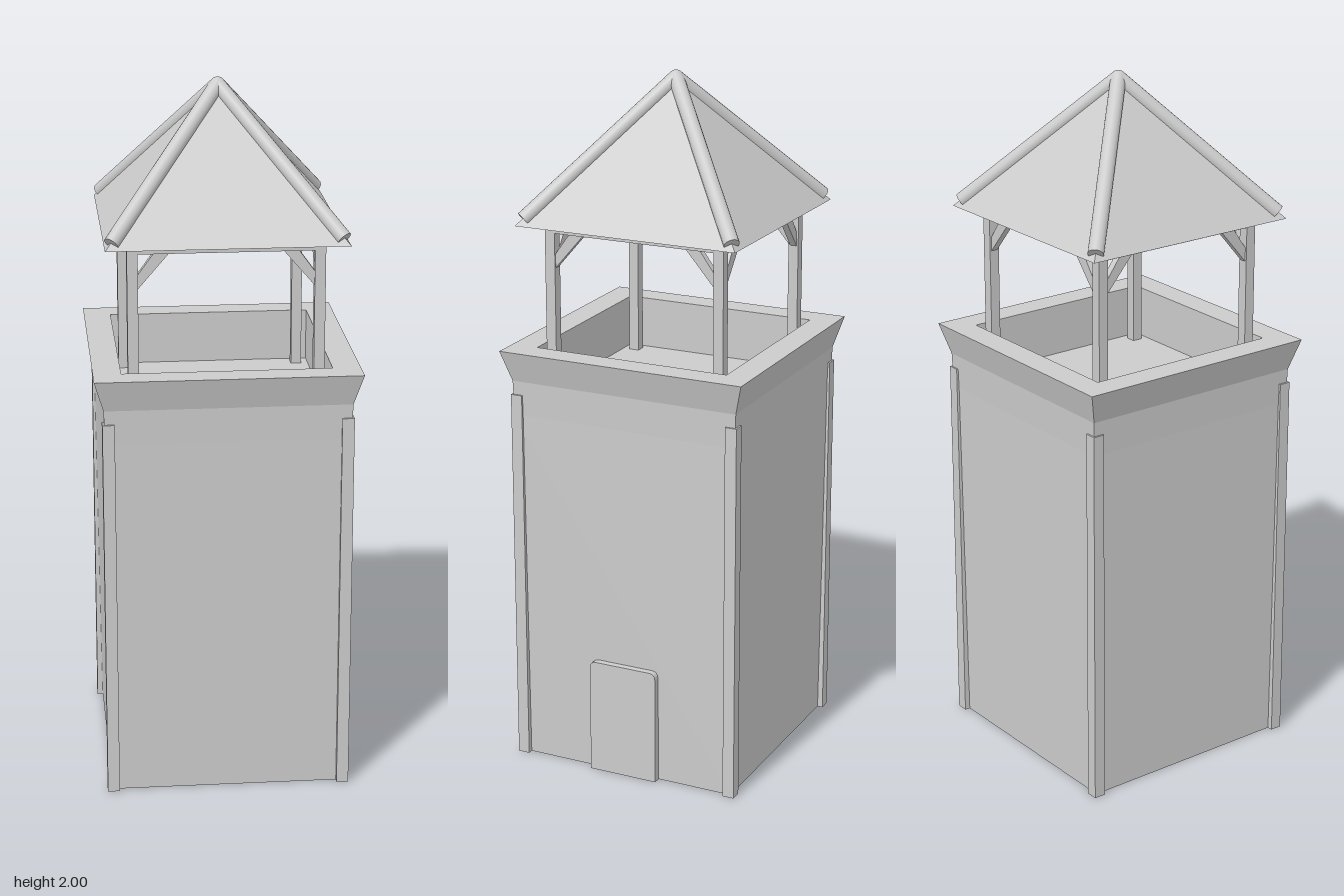
import * as THREE from 'three';

const grey = new THREE.MeshStandardMaterial({ color: 0xcccccc, flatShading: true, side: THREE.DoubleSide });
const smoothGrey = new THREE.MeshStandardMaterial({ color: 0xcccccc });

function add(parent, name, geometry, material = grey) {
  const mesh = new THREE.Mesh(geometry, material);
  mesh.name = name;
  parent.add(mesh);
  return mesh;
}

function box(parent, name, w, h, d, x, y, z) {
  add(parent, name, new THREE.BoxGeometry(w, h, d)).position.set(x, y, z);
}

// Square-plan shell from half-widths and heights
function squareLathe(profile) {
  const points = profile.map(([half, y]) => new THREE.Vector2(half * Math.SQRT2, y));
  return new THREE.LatheGeometry(points, 4, Math.PI / 4);
}

export function createModel() {
  const model = new THREE.Group();
  model.name = 'watchTower';

  // Hollow tower walls, flared parapet and sunken platform, open underneath
  add(model, 'towerWalls', squareLathe([
    [0.332, 0], [0.341, 1.05], [0.344, 1.15], [0.37, 1.24],
    [0.292, 1.24], [0.292, 1.09], [0, 1.09],
  ]));

  // Door block with rounded top corners, set through the left wall
  const w = 0.104, h = 0.34, r = 0.02;
  const doorShape = new THREE.Shape();
  doorShape.moveTo(-w, 0);
  doorShape.lineTo(w, 0);
  doorShape.lineTo(w, h - r);
  doorShape.quadraticCurveTo(w, h, w - r, h);
  doorShape.lineTo(-w + r, h);
  doorShape.quadraticCurveTo(-w, h, -w, h - r);
  const door = add(model, 'door', new THREE.ExtrudeGeometry(doorShape,
    { depth: 0.165, bevelEnabled: false, curveSegments: 4 }));
  door.rotation.y = Math.PI / 2;
  door.position.x = 0.19;

  // Corner trims on the tower and posts carrying the roof
  for (const sx of [-1, 1]) {
    for (const sz of [-1, 1]) {
      box(model, 'cornerTrim', 0.034, 1.11, 0.034, sx * 0.331, 0.555, sz * 0.331);
      box(model, 'roofPost', 0.03, 0.5, 0.03, sx * 0.257, 1.34, sz * 0.257);
    }
  }

  // Diagonal brace outline between post and beam
  const braceShape = new THREE.Shape([[0.243, 1.47], [0.243, 1.51], [0.198, 1.572], [0.155, 1.572]]
    .map(([x, y]) => new THREE.Vector2(x, y)));
  const braceGeometry = new THREE.ExtrudeGeometry(braceShape, { depth: 0.02, bevelEnabled: false });
  braceGeometry.translate(0, 0, -0.01);

  // Each side of the frame: one beam with a brace at both ends
  for (let i = 0; i < 4; i++) {
    const side = new THREE.Group();
    side.name = 'roofFrameSide';
    side.rotation.y = i * Math.PI / 2;
    box(side, 'beam', 0.544, 0.026, 0.03, 0, 1.583, 0.257);
    for (const turn of [0, Math.PI]) {
      const brace = add(side, 'brace', braceGeometry);
      brace.rotation.y = turn;
      brace.position.z = 0.257;
    }
    model.add(side);
  }

  // Thin pyramid roof, open underneath
  add(model, 'roofPanels', squareLathe([[0.333, 1.595], [0, 1.985]]));

  // Round hip ridges meeting in a ball at the peak
  const peak = new THREE.Vector3(0, 1.978, 0);
  const radius = 0.022;
  for (const sx of [-1, 1]) {
    for (const sz of [-1, 1]) {
      const foot = new THREE.Vector3(sx * 0.315, 1.612, sz * 0.315);
      const along = peak.clone().sub(foot);
      const hip = add(model, 'hipRidge',
        new THREE.CylinderGeometry(radius, radius, along.length(), 16), smoothGrey);
      hip.position.copy(foot).add(peak).multiplyScalar(0.5);
      hip.quaternion.setFromUnitVectors(new THREE.Vector3(0, 1, 0), along.normalize());
    }
  }
  add(model, 'roofPeak', new THREE.SphereGeometry(radius, 16, 12), smoothGrey).position.copy(peak);

  return model;
}
